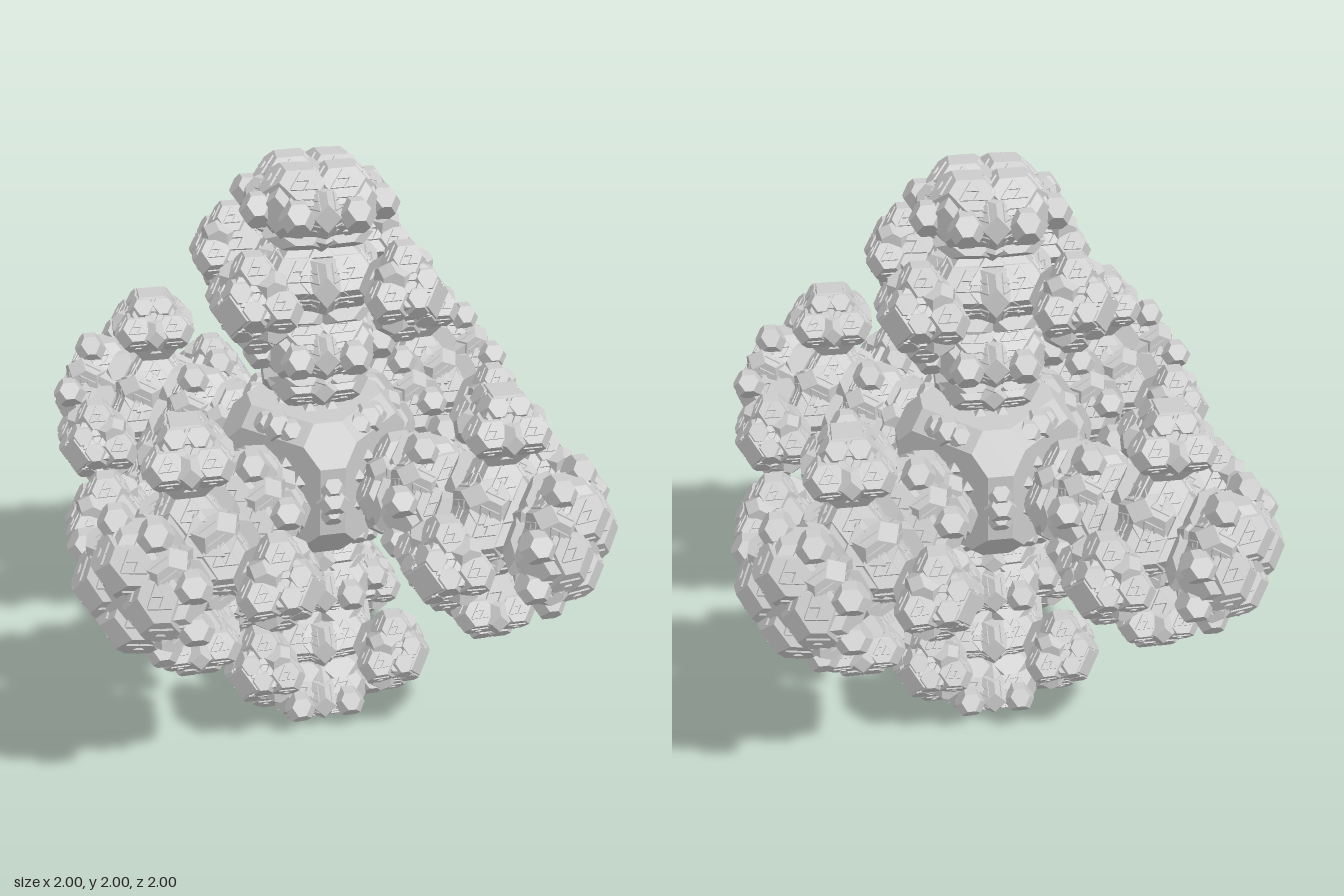
import * as THREE from 'three';
import { ConvexGeometry } from 'three/addons/geometries/ConvexGeometry.js';
import { mergeGeometries } from 'three/addons/utils/BufferGeometryUtils.js';

// All permutations and sign changes of (a, b, c): points with cubic symmetry
function cubicPoints(a, b, c) {
  const found = new Map();
  for (const p of [[a, b, c], [a, c, b], [b, a, c], [b, c, a], [c, a, b], [c, b, a]]) {
    for (let s = 0; s < 8; s++) {
      const v = p.map((n, i) => (s >> i & 1 ? -n : n) + 0);
      found.set(v.map(n => n.toFixed(3).replace('-0.000', '0.000')).join(), new THREE.Vector3(...v));
    }
  }
  return [...found.values()];
}

function hull(a, b, c) {
  const g = new ConvexGeometry(cubicPoints(a, b, c));
  g.deleteAttribute('uv');
  return g;
}

const gem = hull(1, 0.6, 0);
const nub = new THREE.OctahedronGeometry(1);
nub.deleteAttribute('uv');
const nubSpots = cubicPoints(0.66, 0.36, 0.36);

function placed(geometry, x, y, z, sx, sy = sx, sz = sx) {
  return geometry.clone().scale(sx, sy, sz).translate(x, y, z);
}

// One crystal lump: a truncated octahedron studded with small octahedra
function lump(x, y, z, sx, sy = sx, sz = sx) {
  const parts = [placed(gem, x, y, z, sx, sy, sz)];
  for (const p of nubSpots) {
    parts.push(placed(nub, x + p.x * sx, y + p.y * sy, z + p.z * sz, sx * 0.32, sy * 0.32, sz * 0.32));
  }
  return mergeGeometries(parts);
}

// Four copies of a geometry turned around the y axis
function ring(geometry, turn = 0) {
  return mergeGeometries([0, 1, 2, 3].map(i => geometry.clone().rotateY(turn + i * Math.PI / 2)));
}

// Four-lobed plate with a cap of lobes on top and a thin collar below
function plate(y) {
  return mergeGeometries([
    lump(0, y, 0, 0.16, 0.1, 0.16),
    ring(lump(0.115, y, 0, 0.085, 0.09, 0.11)),
    ring(lump(0.09, y + 0.05, 0, 0.088, 0.065, 0.1)),
    ring(lump(0.14, y, 0, 0.065, 0.07, 0.065), Math.PI / 4),
    ring(placed(gem, 0.19, y, 0.07, 0.05, 0.048, 0.045)),
    ring(placed(gem, 0.19, y, -0.07, 0.05, 0.048, 0.045)),
    ring(placed(gem, 0.1, y - 0.09, 0, 0.075, 0.035, 0.09)),
    ring(placed(nub, 0.11, y - 0.085, 0, 0.07, 0.05, 0.07), Math.PI / 4),
  ]);
}

// Side cluster: flattened, tapering core with four lobes around its own axis
function satellite() {
  const body = mergeGeometries([
    lump(0, 0, 0, 0.1, 0.116, 0.1),
    ring(lump(0.084, 0, 0, 0.066, 0.06, 0.064)),
    ring(placed(gem, 0.045, 0.07, 0, 0.045, 0.042, 0.045)),
    ring(placed(gem, 0.09, 0, 0, 0.045, 0.05, 0.045), Math.PI / 4),
  ]);
  return body.rotateZ(-Math.PI / 2).translate(0.313, 0.655, 0);
}

export function createModel() {
  const model = new THREE.Group();
  const material = new THREE.MeshStandardMaterial({ color: 0xcccccc, flatShading: true });
  const mesh = (name, geometry) => {
    const m = new THREE.Mesh(geometry, material);
    m.name = name;
    return m;
  };

  // Central body: a rounded bevelled block with raised bands and edge studs
  const core = new THREE.Group();
  core.name = 'centralBody';
  core.add(mesh('coreBlock', placed(hull(1, 0.76, 0.5), 0, 0, 0, 0.235)));
  const bands = cubicPoints(0.185, 0.14, 0.12).map(p => placed(gem, p.x, p.y, p.z, 0.05));
  for (const p of cubicPoints(0.2, 0.1, 0.05)) bands.push(placed(nub, p.x, p.y, p.z, 0.06));
  core.add(mesh('coreBands', mergeGeometries(bands)));
  const studs = cubicPoints(0.2, 0.2, 0).map(p => placed(gem, p.x, p.y, p.z, 0.045));
  for (const p of cubicPoints(0.195, 0.195, 0.045)) studs.push(placed(gem, p.x, p.y, p.z, 0.038));
  core.add(mesh('edgeStuds', mergeGeometries(studs)));
  core.position.y = 1;
  model.add(core);

  // Parts of one arm, built along +y
  const armParts = {
    neck: mergeGeometries([
      lump(0, 0.3, 0, 0.13, 0.09, 0.13),
      ring(lump(0.1, 0.315, 0, 0.072, 0.065, 0.08)),
      ring(placed(gem, 0.11, 0.315, 0, 0.055), Math.PI / 4),
    ]),
    innerPlate: plate(0.435),
    middleBead: mergeGeometries([
      lump(0, 0.655, 0, 0.17, 0.13, 0.17),
      ring(lump(0.115, 0.655, 0, 0.085, 0.085, 0.1)),
      ring(lump(0.13, 0.655, 0, 0.065, 0.08, 0.065), Math.PI / 4),
      ring(placed(gem, 0.1, 0.55, 0, 0.075, 0.035, 0.09)),
    ]),
    satellites: ring(satellite()),
    endPlate: plate(0.885),
  };

  // Six arms along the axes
  const up = new THREE.Vector3(0, 1, 0);
  const arms = {
    topArm: [0, 1, 0], bottomArm: [0, -1, 0], leftArm: [1, 0, 0],
    rightArm: [-1, 0, 0], frontArm: [0, 0, 1], backArm: [0, 0, -1],
  };
  for (const [name, dir] of Object.entries(arms)) {
    const arm = new THREE.Group();
    arm.name = name;
    for (const [part, geometry] of Object.entries(armParts)) arm.add(mesh(part, geometry));
    arm.quaternion.setFromUnitVectors(up, new THREE.Vector3(...dir));
    arm.position.y = 1;
    model.add(arm);
  }
  return model;
}
